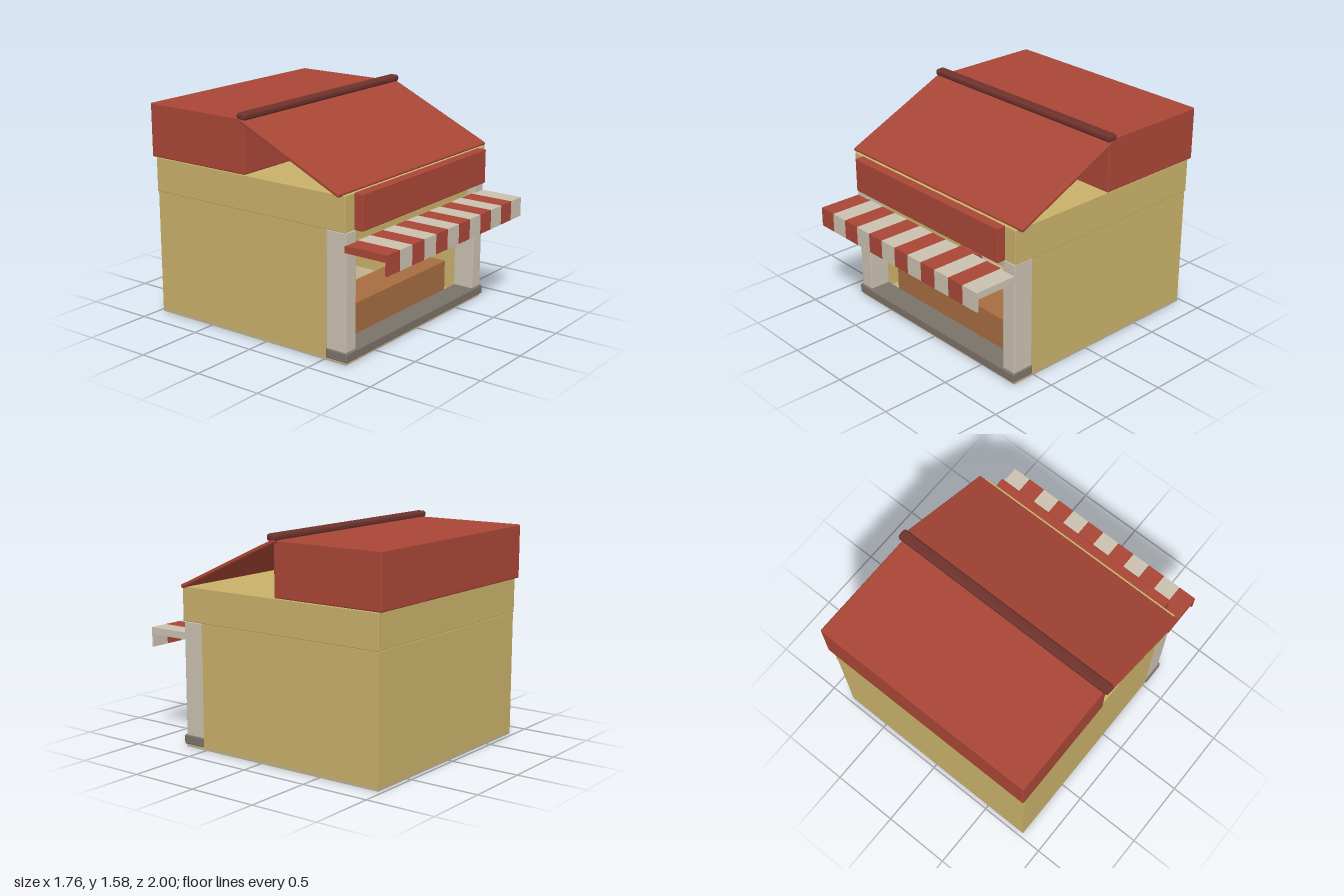
import * as THREE from 'three';
import { RoundedBoxGeometry } from 'three/addons/geometries/RoundedBoxGeometry.js';

const material = (name, color) => {
  const m = new THREE.MeshStandardMaterial({ color });
  m.name = name;
  return m;
};

export function createModel() {
  const yellow = material('yellow plaster', 0xc8b06a);
  const red = material('red tile', 0xa84636);
  const darkRed = material('dark red wood', 0x6e322c);
  const cream = material('cream', 0xc9c0af);
  const grey = material('grey stone', 0x7a7269);
  const wood = material('counter wood', 0xa66c40);
  const sand = material('sand floor', 0xbfae8c);
  const blue = material('blue', 0x4080bc);
  const green = material('green', 0x35997f);
  const pink = material('pink', 0xc8568c);

  const model = new THREE.Group();
  model.name = 'marketShop';

  // Box given by its limits on each axis; r rounds the edges
  const box = (name, mat, [x0, x1], [y0, y1], [z0, z1], r = 0, parent = model) => {
    const size = [x1 - x0, y1 - y0, z1 - z0];
    const geo = r ? new RoundedBoxGeometry(...size, 2, r) : new THREE.BoxGeometry(...size);
    const mesh = new THREE.Mesh(geo, mat);
    mesh.name = name;
    mesh.position.set((x0 + x1) / 2, (y0 + y1) / 2, (z0 + z1) / 2);
    parent.add(mesh);
    return mesh;
  };
  const group = (name) => {
    const g = new THREE.Group();
    g.name = name;
    model.add(g);
    return g;
  };

  // Floor and walls
  box('floor', sand, [-0.83, 0.83], [0, 0.02], [-0.97, 0.68]);
  box('backWall', yellow, [-0.83, 0.83], [0.02, 0.9], [-0.97, -0.91]);
  for (const s of [-1, 1]) {
    const span = (a, b) => (s > 0 ? [a, b] : [-b, -a]);
    box('sideWall', yellow, span(0.77, 0.83), [0.02, 0.9], [-0.91, 0.52]);
    box('frontPillar', cream, span(0.72, 0.83), [0.02, 0.9], [0.52, 0.68], 0.006);
  }
  box('lintel', yellow, [-0.72, 0.72], [0.8, 0.9], [0.54, 0.62]);
  box('upperBand', yellow, [-0.84, 0.84], [0.903, 1.15], [-0.972, 0.682], 0.006);
  box('frontStep', grey, [-0.84, 0.84], [0.02, 0.087], [0.52, 0.697], 0.01);

  // Interior: counter, backing wall, crate
  box('counter', wood, [-0.66, 0.66], [0.02, 0.28], [0.2, 0.48], 0.006);
  box('shelfBacking', darkRed, [-0.77, 0.77], [0.02, 0.9], [-0.91, -0.86]);
  box('crate', red, [-0.68, -0.48], [0.02, 0.17], [-0.2, 0.0]);

  // Two shelves of coloured goods
  const goods = group('shelfGoods');
  const goodsColours = [yellow, green, pink, cream, red, blue];
  [[0.48, 0.105, 0], [0.27, 0.105, 5]].forEach(([y, h, shift]) => {
    box('shelf', darkRed, [-0.75, 0.75], [y - 0.03, y], [-0.86, -0.68], 0, goods);
    for (let i = 0; i < 13; i++) {
      const x = (i - 6) * 0.105 - 0.007;
      box('goodsBox', goodsColours[(i + shift) % 6],
        [x - 0.04, x + 0.04], [y, y + h], [-0.8, -0.7], 0, goods);
    }
  });

  // Striped awning: flat top and hanging front edge
  const awning = group('awning');
  const w = 1.66 / 12;
  for (let i = 0; i < 12; i++) {
    const x = -0.83 + i * w;
    const mat = i % 2 ? cream : red;
    box('awningTop', mat, [x, x + w], [0.77, 0.82], [0.67, 0.985], 0, awning);
    box('awningValance', mat, [x, x + w], [0.68, 0.82], [0.985, 1.0], 0, awning);
  }

  // Plain sign board
  box('signBoard', red, [-0.745, 0.745], [0.903, 1.152], [0.68, 0.75], 0.008);

  // Roof: rear block, front slope and ridge
  box('rearRoof', red, [-0.85, 0.85], [1.152, 1.535], [-1, -0.145], 0.01);
  const slope = box('frontRoofSlope', red, [-0.88, 0.88], [1.329, 1.357], [-0.217, 0.703], 0.01);
  slope.rotation.x = Math.atan2(0.38, 0.825);
  box('roofRidge', darkRed, [-0.882, 0.882], [1.527, 1.577], [-0.185, -0.107], 0.02);

  return model;
}
